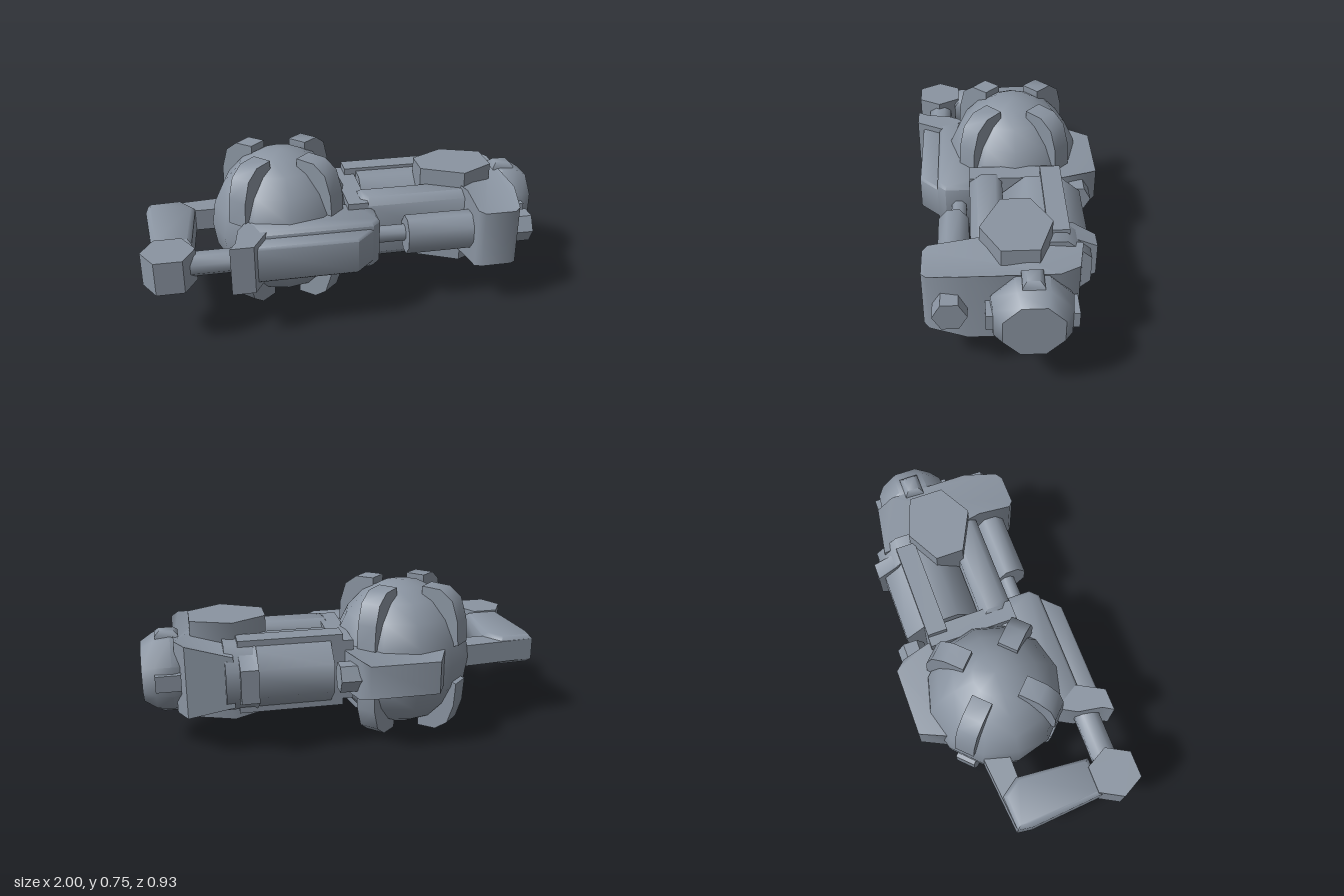
import * as THREE from 'three';
import { toCreasedNormals } from 'three/addons/utils/BufferGeometryUtils.js';

const MID = 0.38; // height of the symmetry plane

export function createModel() {
  const group = new THREE.Group();
  const hullGrey = new THREE.MeshStandardMaterial({ color: 0x8a94a1 });
  hullGrey.name = 'hull grey';

  function add(name, geometry, parent = group, crease = 0.9) {
    const mesh = new THREE.Mesh(toCreasedNormals(geometry, crease), hullGrey);
    mesh.name = name;
    parent.add(mesh);
    return mesh;
  }

  // Plan outline in (x, z), raised evenly about the symmetry plane; taper(x, z) scales the height
  function prism(name, outline, height, taper, bevel = 0) {
    const shape = new THREE.Shape(outline.map(([x, z]) => new THREE.Vector2(x, z)));
    const geo = new THREE.ExtrudeGeometry(shape, {
      depth: height - 2 * bevel, bevelEnabled: bevel > 0, bevelSegments: 1,
      bevelSize: bevel, bevelThickness: bevel, bevelOffset: -bevel,
    });
    geo.translate(0, 0, -(height - 2 * bevel) / 2).rotateX(Math.PI / 2);
    const p = geo.attributes.position;
    if (taper) for (let i = 0; i < p.count; i++) p.setY(i, p.getY(i) * taper(p.getX(i), p.getZ(i)));
    return add(name, geo.translate(0, MID, 0));
  }

  const rect = (x0, x1, z0, z1) => [[x0, z0], [x1, z0], [x1, z1], [x0, z1]];

  // Cylinder lying along x
  function barrel(name, x0, x1, z, ry, rz, sides, turn = 0) {
    const geo = new THREE.CylinderGeometry(1, 1, x1 - x0, sides);
    geo.rotateY(turn).rotateZ(-Math.PI / 2).scale(1, ry, rz).translate((x0 + x1) / 2, MID, z);
    return add(name, geo);
  }

  // Main sphere with eight curved clamps
  const core = new THREE.Group();
  core.name = 'core';
  core.position.set(-0.3, MID, -0.05);
  group.add(core);
  add('coreSphere', new THREE.SphereGeometry(1, 12, 10).scale(0.352, 0.376, 0.345), core);
  const clampProfile = new THREE.Shape([
    [0.14, 0.372], [0.14, 0.28], [0.3, 0.09], [0.345, 0.1], [0.337, 0.22], [0.305, 0.32], [0.24, 0.368],
  ].map(([x, y]) => new THREE.Vector2(x, y)));
  for (const flip of [0, Math.PI]) {
    const half = new THREE.Group();
    half.name = flip ? 'lowerClamps' : 'upperClamps';
    half.rotation.x = flip;
    core.add(half);
    for (let i = 0; i < 4; i++) {
      const geo = new THREE.ExtrudeGeometry(clampProfile, { depth: 0.1, bevelEnabled: false });
      add('clamp', geo.translate(0, 0, -0.05), half).rotation.y = Math.PI / 4 + i * Math.PI / 2;
    }
  }

  // Front side hull with raised panel and slanted fin
  prism('frontHull', [[-0.5, 0.2], [-0.42, 0.1], [0.04, 0.1], [0.13, 0.18], [0.13, 0.3], [0.09, 0.34], [-0.46, 0.34]], 0.24, null, 0.015);
  prism('frontPanel', [[-0.49, 0.32], [0.09, 0.32], [0.09, 0.34], [0, 0.43], [-0.49, 0.43]], 0.18, null, 0.01);
  prism('frontFin', [[-0.6, 0.46], [-0.57, 0.41], [-0.55, 0.29], [-0.5, 0.2], [-0.42, 0.33], [-0.49, 0.46]], 0.24);

  // Rear pod and its stub
  prism('rearPod', [[-0.46, -0.3], [-0.38, -0.47], [-0.04, -0.47], [0, -0.42], [0.04, -0.28], [0.04, -0.1], [-0.4, -0.1]],
    0.2, (x, z) => z < -0.45 ? 0.82 : 1);
  barrel('rearStub', -0.03, 0.09, -0.36, 0.075, 0.07, 6);

  // Side arm looping round the core
  prism('armStrut', [[-0.97, -0.18], [-0.6, -0.215], [-0.6, -0.09], [-0.76, -0.09], [-0.97, -0.09]], 0.11);
  prism('armSlab', [[-0.97, -0.18], [-0.8, -0.19], [-0.735, -0.1], [-0.765, 0.26], [-0.95, 0.26], [-0.98, -0.11]], 0.15, null, 0.02);
  prism('armJoint', [[-1, 0.35], [-0.94, 0.24], [-0.81, 0.24], [-0.75, 0.35], [-0.81, 0.46], [-0.94, 0.46]], 0.165);
  barrel('armRod', -0.78, -0.5, 0.345, 0.056, 0.065, 8, Math.PI / 8);

  // Neck: wall, clamping beams and large tank
  prism('neckWall', rect(0, 0.1, -0.27, 0.18), 0.3);
  prism('frontBeam', [[0.05, 0.02], [0.66, 0.02], [0.66, 0.18], [0.1, 0.18], [0.05, 0.14]], 0.33, null, 0.035);
  prism('rearBeam', rect(0.05, 0.555, -0.27, -0.17), 0.365);
  barrel('tank', 0.11, 0.62, -0.175, 0.18, 0.208, 8, Math.PI / 8);
  prism('tankFlange', [[0.47, -0.4], [0.555, -0.4], [0.555, -0.17], [0.51, -0.17], [0.47, -0.29]],
    0.365, (x, z) => z < -0.35 ? 0.45 : z < -0.25 ? 0.85 : 1);

  // Piston beside the neck
  barrel('pistonRod', 0.1, 0.3, 0.235, 0.042, 0.04, 8, Math.PI / 8);
  barrel('pistonSleeve', 0.27, 0.65, 0.26, 0.1, 0.08, 8, Math.PI / 8);

  // End block with hexagonal tower through it
  prism('endBlock', [[0.58, -0.33], [0.8, -0.29], [0.845, -0.2], [0.845, 0.2], [0.81, 0.37], [0.78, 0.395],
    [0.63, 0.395], [0.6, 0.37], [0.6, 0.2], [0.58, 0.1]],
  0.36, (x, z) => z > 0.39 ? 0.8 : z > 0.3 ? 0.84 : z < -0.3 ? 0.7 : 1);
  prism('hexTower', [[0.4, -0.1], [0.57, -0.19], [0.765, -0.12], [0.765, 0.05], [0.6, 0.14], [0.4, 0.04]], 0.495);
  barrel('endTip', 0.78, 0.9, 0.275, 0.08, 0.077, 6, 0);

  // Octagonal end cap with four lugs
  const cap = new THREE.LatheGeometry([[0.17, 0.8], [0.195, 0.86], [0.185, 0.94], [0.145, 1], [0, 1]]
    .map(([r, x]) => new THREE.Vector2(r, x)), 8);
  cap.rotateY(Math.PI / 8).rotateZ(-Math.PI / 2).translate(0, MID, -0.08);
  add('endCap', cap);
  prism('uprightLugs', rect(0.82, 0.93, -0.128, -0.033), 0.41, null, 0.02);
  prism('sideLugs', rect(0.82, 0.94, -0.28, 0.122), 0.08);

  return group;
}
